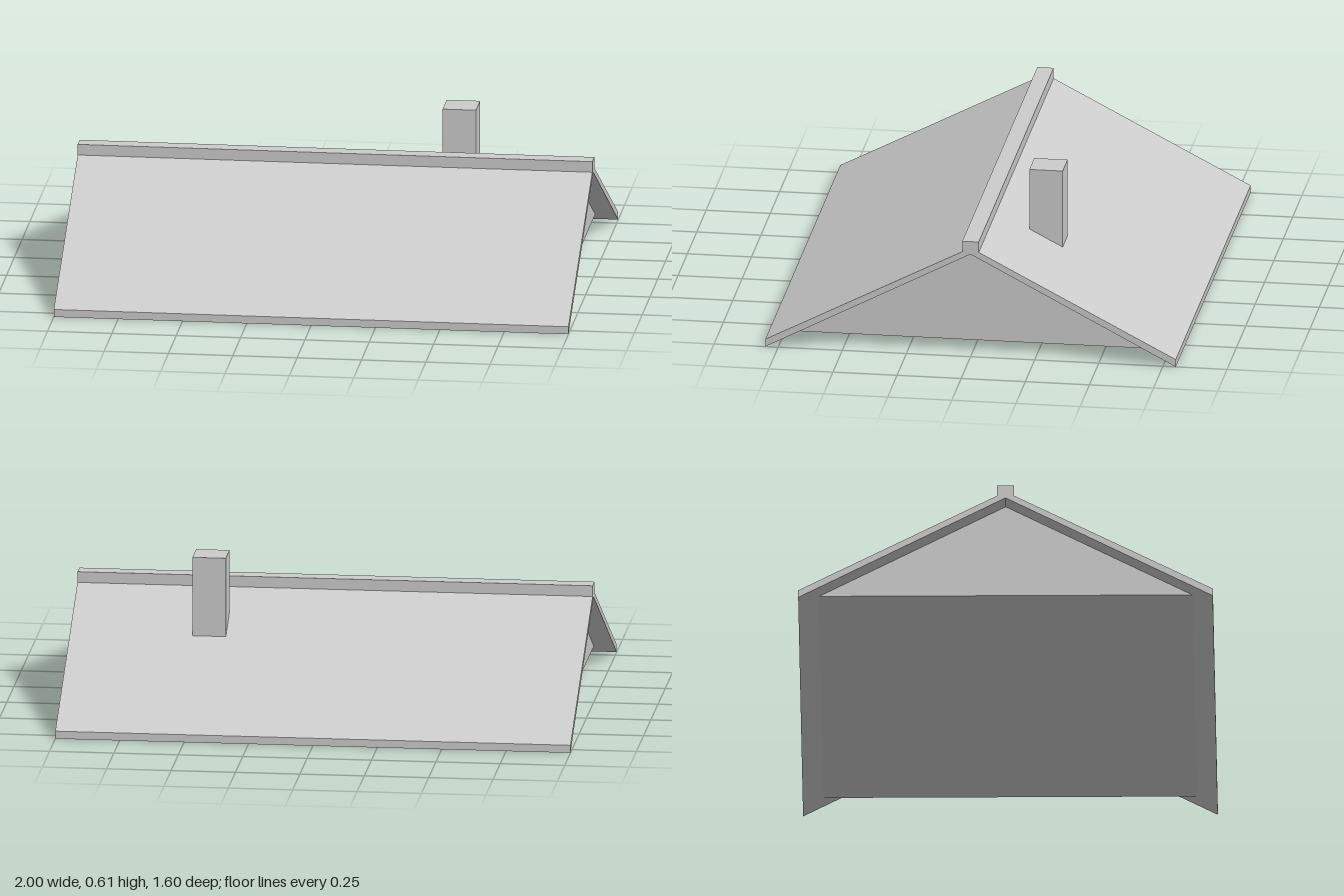
import * as THREE from 'three';

const grey = new THREE.MeshStandardMaterial({ color: 0xcccccc });
grey.name = 'light grey';

// Extrude a [z, y] profile along x, centred on x = 0
function alongX(name, profile, length) {
  const shape = new THREE.Shape(profile.map(([z, y]) => new THREE.Vector2(-z, y)));
  const geometry = new THREE.ExtrudeGeometry(shape, { depth: length, bevelEnabled: false });
  geometry.translate(0, 0, -length / 2).rotateY(Math.PI / 2);
  const mesh = new THREE.Mesh(geometry, grey);
  mesh.name = name;
  return mesh;
}

function box(name, size, centre) {
  const mesh = new THREE.Mesh(new THREE.BoxGeometry(...size), grey);
  mesh.name = name;
  mesh.position.set(...centre);
  return mesh;
}

export function createModel() {
  const model = new THREE.Group();
  model.name = 'gableRoof';

  // Two sloping slabs with vertically cut eaves
  for (const [name, s] of [['frontRoofSlope', 1], ['backRoofSlope', -1]]) {
    model.add(alongX(name, [[0, 0.42], [0.8 * s, 0], [0.8 * s, 0.03], [0, 0.446]], 2));
  }

  // Solid gable body, set in from the roof ends
  model.add(alongX('gableBody', [[-0.72, 0.041], [0.72, 0.041], [0, 0.419]], 1.84));

  // Ridge cap along the peak
  model.add(box('ridgeCap', [2, 0.05, 0.064], [0, 0.447, 0]));

  // Chimney through the back slope
  model.add(box('chimney', [0.13, 0.34, 0.13], [0.46, 0.437, -0.225]));

  return model;
}
